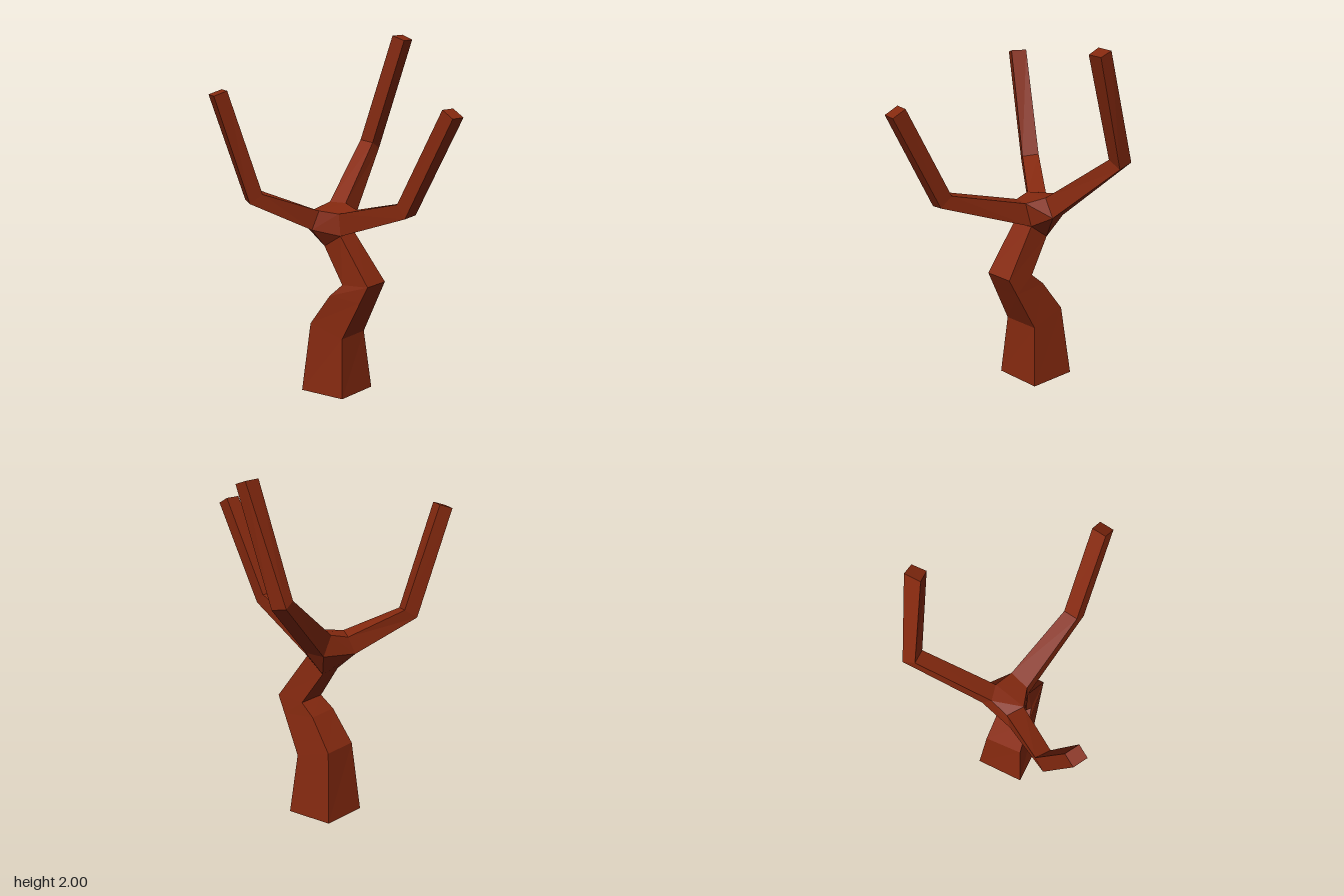
import * as THREE from 'three';
import { ConvexGeometry } from 'three/addons/geometries/ConvexGeometry.js';

const bark = new THREE.MeshStandardMaterial({ color: 0x85290f, flatShading: true });

// Four-sided limb through a list of rings, each ring counter-clockwise seen from the tip
function limb(name, rings) {
  const pos = [];
  const quad = (a, b, c, d) => pos.push(...a, ...b, ...c, ...a, ...c, ...d);
  for (let r = 0; r + 1 < rings.length; r++) {
    for (let i = 0; i < 4; i++) {
      const j = (i + 1) % 4;
      quad(rings[r][i], rings[r][j], rings[r + 1][j], rings[r + 1][i]);
    }
  }
  quad(...rings[rings.length - 1]);
  quad(...[...rings[0]].reverse());
  const geo = new THREE.BufferGeometry();
  geo.setAttribute('position', new THREE.Float32BufferAttribute(pos, 3));
  geo.computeVertexNormals();
  const mesh = new THREE.Mesh(geo, bark);
  mesh.name = name;
  return mesh;
}

export function createModel() {
  const tree = new THREE.Group();
  tree.name = 'bareTree';

  // Crooked trunk: corners run left, front, right, back
  const trunk = [
    [[-0.18, 0, -0.04], [0.05, 0, 0.13], [0.22, 0, -0.1], [-0.01, 0, -0.265]],
    [[-0.13, 0.4, -0.03], [0.05, 0.34, 0.09], [0.175, 0.34, -0.09], [-0.005, 0.4, -0.21]],
    [[-0.02, 0.58, 0.04], [0.148, 0.564, 0.146], [0.255, 0.564, -0.006], [0.087, 0.58, -0.12]],
    [[0.05, 0.65, 0.07], [0.19, 0.66, 0.17], [0.29, 0.66, 0.03], [0.15, 0.65, -0.07]],
    [[-0.05, 0.85, -0.04], [0.04, 0.925, 0.05], [0.12, 0.925, -0.06], [0.03, 0.84, -0.13]],
  ];

  // Branches: start at the fork, elbow, tip
  const rightBranch = [
    [[-0.15, 0.95, -0.09], [-0.12, 0.95, 0], [-0.08, 1.06, 0], [-0.11, 1.05, -0.1]],
    [[-0.49, 1.13, 0.03], [-0.46, 1.12, 0.11], [-0.39, 1.17, 0.09], [-0.42, 1.18, 0]],
    [[-0.675, 1.73, 0.14], [-0.64, 1.73, 0.22], [-0.57, 1.755, 0.19], [-0.605, 1.755, 0.11]],
  ];
  const leftBranch = [
    [[0.13, 1.06, -0.03], [0.03, 1.05, 0.04], [0.04, 0.925, 0.05], [0.12, 0.925, -0.06]],
    [[0.4, 1.17, 0.32], [0.34, 1.17, 0.38], [0.38, 1.1, 0.43], [0.44, 1.11, 0.37]],
    [[0.62, 1.7, 0.5], [0.56, 1.7, 0.56], [0.61, 1.66, 0.615], [0.67, 1.66, 0.555]],
  ];
  const backBranch = [
    [[-0.02, 1.08, -0.17], [0.07, 1.08, -0.13], [0.12, 0.98, -0.18], [0.02, 0.97, -0.22]],
    [[0.16, 1.38, -0.55], [0.23, 1.37, -0.5], [0.27, 1.33, -0.565], [0.19, 1.35, -0.615]],
    [[0.34, 2, -0.45], [0.405, 1.975, -0.41], [0.455, 1.975, -0.48], [0.4, 2, -0.525]],
  ];

  tree.add(
    limb('trunk', trunk),
    limb('rightBranch', rightBranch),
    limb('leftBranch', leftBranch),
    limb('backBranch', backBranch),
  );

  // Faceted fork wrapping the trunk top and the branch roots
  const corners = [trunk[4], rightBranch[0], leftBranch[0], backBranch[0]].flat();
  const fork = new THREE.Mesh(
    new ConvexGeometry(corners.map((p) => new THREE.Vector3(...p))), bark);
  fork.name = 'fork';
  tree.add(fork);
  return tree;
}
